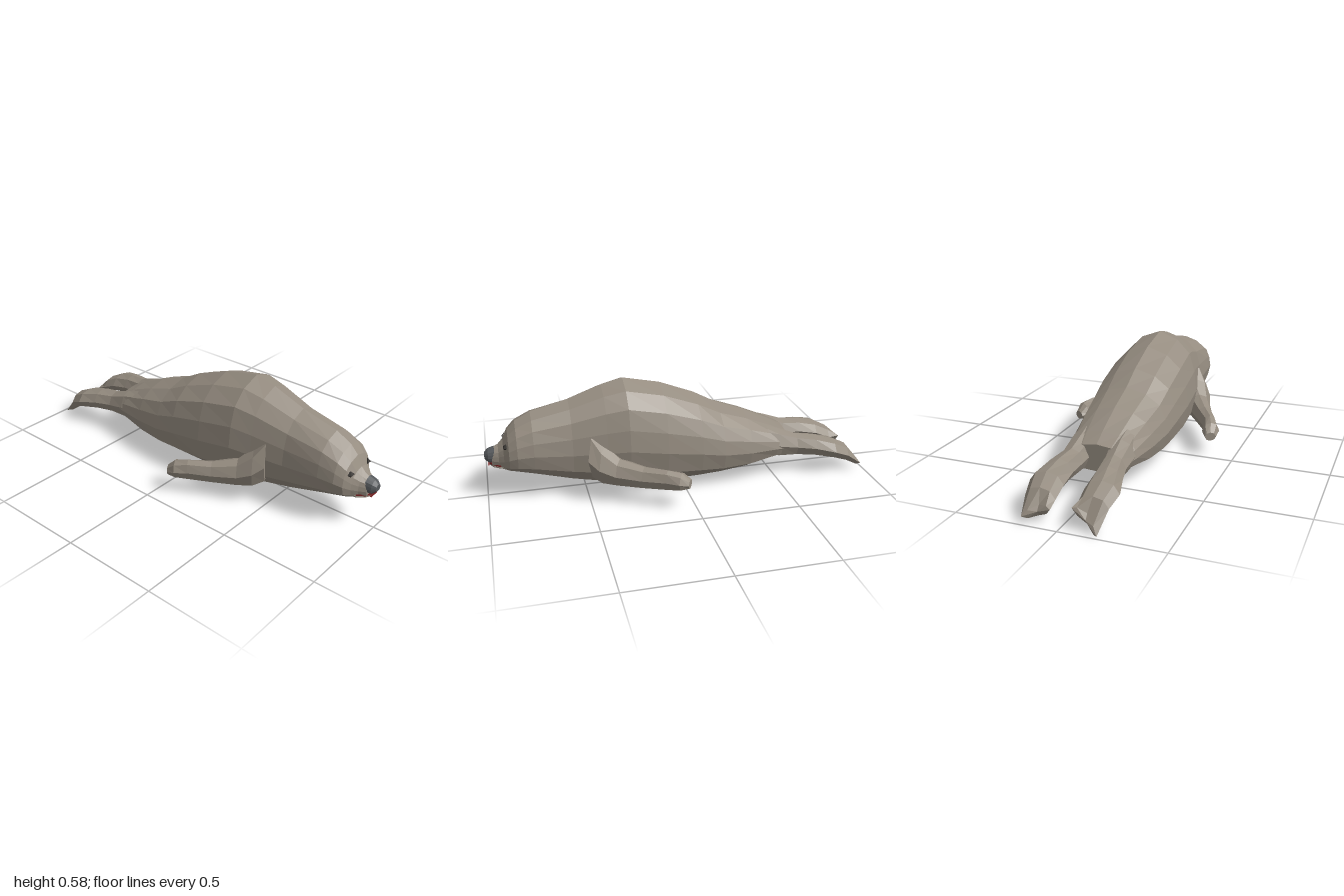
import * as THREE from 'three';

const mat = (name, color) => {
  const m = new THREE.MeshStandardMaterial({ color, flatShading: true });
  m.name = name;
  return m;
};

// Half cross-section from back ridge to belly: [share of half width, share of height]
const BODY = [[0, 1], [0.47, 0.93], [0.8, 0.8], [0.94, 0.62], [1, 0.42], [0.9, 0.2], [0.5, 0.04], [0, 0]];
const LIMB = [[0, 1], [0.65, 0.88], [1, 0.5], [0.65, 0.12], [0, 0]];
const UP = new THREE.Vector3(0, 1, 0);

// Closed ring around a centre, square to the horizontal direction dir
function ring(half, x, z, w, bottom, top, dir) {
  const u = new THREE.Vector3().crossVectors(UP, dir).normalize();
  const mirrored = half.slice(1, -1).reverse().map(([a, t]) => [-a, t]);
  return [...half, ...mirrored].map(([a, t]) =>
    new THREE.Vector3(x + u.x * a * w, bottom + t * (top - bottom), z + u.z * a * w));
}

// Skin over a row of rings with both ends capped
function loft(rings) {
  const n = rings[0].length, pos = [], idx = [];
  rings.forEach(r => r.forEach(p => pos.push(p.x, p.y, p.z)));
  for (let k = 0; k < rings.length - 1; k++) {
    for (let i = 0; i < n; i++) {
      const a = k * n + i, b = k * n + (i + 1) % n;
      idx.push(a, a + n, b, b, a + n, b + n);
    }
  }
  [0, rings.length - 1].forEach(k => {
    const c = rings[k].reduce((s, p) => s.add(p), new THREE.Vector3()).divideScalar(n);
    const ci = pos.length / 3;
    pos.push(c.x, c.y, c.z);
    for (let i = 0; i < n; i++) {
      const a = k * n + i, b = k * n + (i + 1) % n;
      k ? idx.push(ci, b, a) : idx.push(ci, a, b);
    }
  });
  const g = new THREE.BufferGeometry();
  g.setAttribute('position', new THREE.Float32BufferAttribute(pos, 3));
  g.setIndex(idx);
  g.computeVertexNormals();
  return g;
}

export function createModel() {
  const model = new THREE.Group();
  model.name = 'seal';
  const fur = mat('fur', 0x968d81);
  const noseGrey = mat('noseGrey', 0x55585b);
  const eyeDark = mat('eyeDark', 0x35322f);
  const mouthRed = mat('mouthRed', 0x7d2424);
  const add = (name, geo, material) => {
    const m = new THREE.Mesh(geo, material);
    m.name = name;
    model.add(m);
    return m;
  };
  const forward = new THREE.Vector3(0, 0, 1);
  const along = rows => loft(rows.map(([z, w, b, t]) => ring(BODY, 0, z, w, b, t, forward)));

  // Body, head and muzzle: z, half width, bottom, top
  add('body', along([
    [-0.575, 0.155, 0.1, 0.235], [-0.5, 0.175, 0.085, 0.275], [-0.35, 0.2, 0.042, 0.345],
    [-0.2, 0.22, 0.026, 0.4], [-0.08, 0.227, 0.018, 0.465], [0.1, 0.228, 0.01, 0.535],
    [0.29, 0.215, 0.024, 0.575], [0.4, 0.19, 0.03, 0.548], [0.57, 0.158, 0.062, 0.485],
    [0.76, 0.148, 0.115, 0.437], [0.84, 0.137, 0.135, 0.395], [0.88, 0.118, 0.142, 0.352],
    [0.905, 0.085, 0.148, 0.3], [0.93, 0.06, 0.152, 0.275], [0.965, 0.04, 0.163, 0.258],
  ]), fur);

  // Nose tip
  add('nose', along([
    [0.95, 0.043, 0.182, 0.268], [0.982, 0.036, 0.188, 0.258], [1, 0.02, 0.205, 0.24],
  ]), noseGrey);

  // Mouth slit with a lip just below it
  const slit = (r, h, y) => {
    const s = new THREE.Shape([[-0.07, 0.9], [0.07, 0.9], [0.066, 0.925], [0.04, 0.96],
      [0, 0.98], [-0.04, 0.96], [-0.066, 0.925]].map(([x, z]) => new THREE.Vector2(x * r, -z)));
    return new THREE.ExtrudeGeometry(s, { depth: h, bevelEnabled: false })
      .rotateX(-Math.PI / 2).translate(0, y, 0);
  };
  add('mouth', slit(0.93, 0.008, 0.177), mouthRed);
  add('lowerLip', slit(1, 0.006, 0.171), fur);
  const gap = new THREE.Shape([[-0.028, 0], [0.028, 0], [0, 0.022]].map(p => new THREE.Vector2(...p)));
  add('mouthFront', new THREE.ExtrudeGeometry(gap, { depth: 0.008, bevelEnabled: false })
    .translate(0, 0.178, 0.977), mouthRed);

  for (const s of [1, -1]) {
    const side = s > 0 ? 'left' : 'right';

    // Eye
    const eye = add(side + 'Eye', new THREE.OctahedronGeometry(1), eyeDark);
    eye.scale.set(0.024, 0.019, 0.016);
    eye.position.set(s * 0.076, 0.286, 0.892);
    eye.rotation.y = s * 0.6;

    // Front flipper sweeping out and back: x, z, half width, bottom, top
    const path = [[0.1, 0.44, 0.13, 0.09, 0.36], [0.165, 0.41, 0.095, 0.08, 0.29],
      [0.215, 0.35, 0.065, 0.083, 0.225], [0.28, 0.24, 0.047, 0.085, 0.2],
      [0.34, 0.135, 0.038, 0.09, 0.198], [0.365, 0.07, 0.046, 0.095, 0.185],
      [0.375, 0.03, 0.03, 0.105, 0.15]];
    const back = new THREE.Vector3(s * 0.5, 0, -0.85);
    add(side + 'FrontFlipper', loft(path.map(([x, z, w, b, t], i) => {
      const drop = s < 0 ? i * 0.004 : 0;
      return ring(LIMB, s * x, z, w, b - drop, t - drop, back);
    })), fur);

    // Hind flipper: z, inner x, outer x, bottom, top
    const hind = [[-0.4, 0.04, 0.16, 0.11, 0.29], [-0.52, 0.03, 0.17, 0.095, 0.255],
      [-0.62, 0.045, 0.166, 0.095, 0.218], [-0.72, 0.052, 0.19, 0.09, 0.205],
      [-0.82, 0.05, 0.218, 0.075, 0.18], [-0.9, 0.052, 0.2, 0.045, 0.14],
      [-0.96, 0.052, 0.178, 0.024, 0.075]];
    const rings = hind.map(([z, a, b, lo, hi]) =>
      ring(LIMB, s * (a + b) / 2, z, (b - a) / 2, lo, hi, new THREE.Vector3(0, 0, -1)));
    // Tip runs out to an outer lobe and an inner lobe, the outer one lower
    rings.at(-1).forEach(p => {
      const e = (Math.abs(p.x) - 0.115) / 0.063;
      p.z += 0.025 - 0.035 * Math.abs(e) - 0.015 * e;
      p.y -= e * (s < 0 ? 0.049 : 0.02);
    });
    add(side + 'HindFlipper', loft(rings), fur);
  }
  return model;
}
